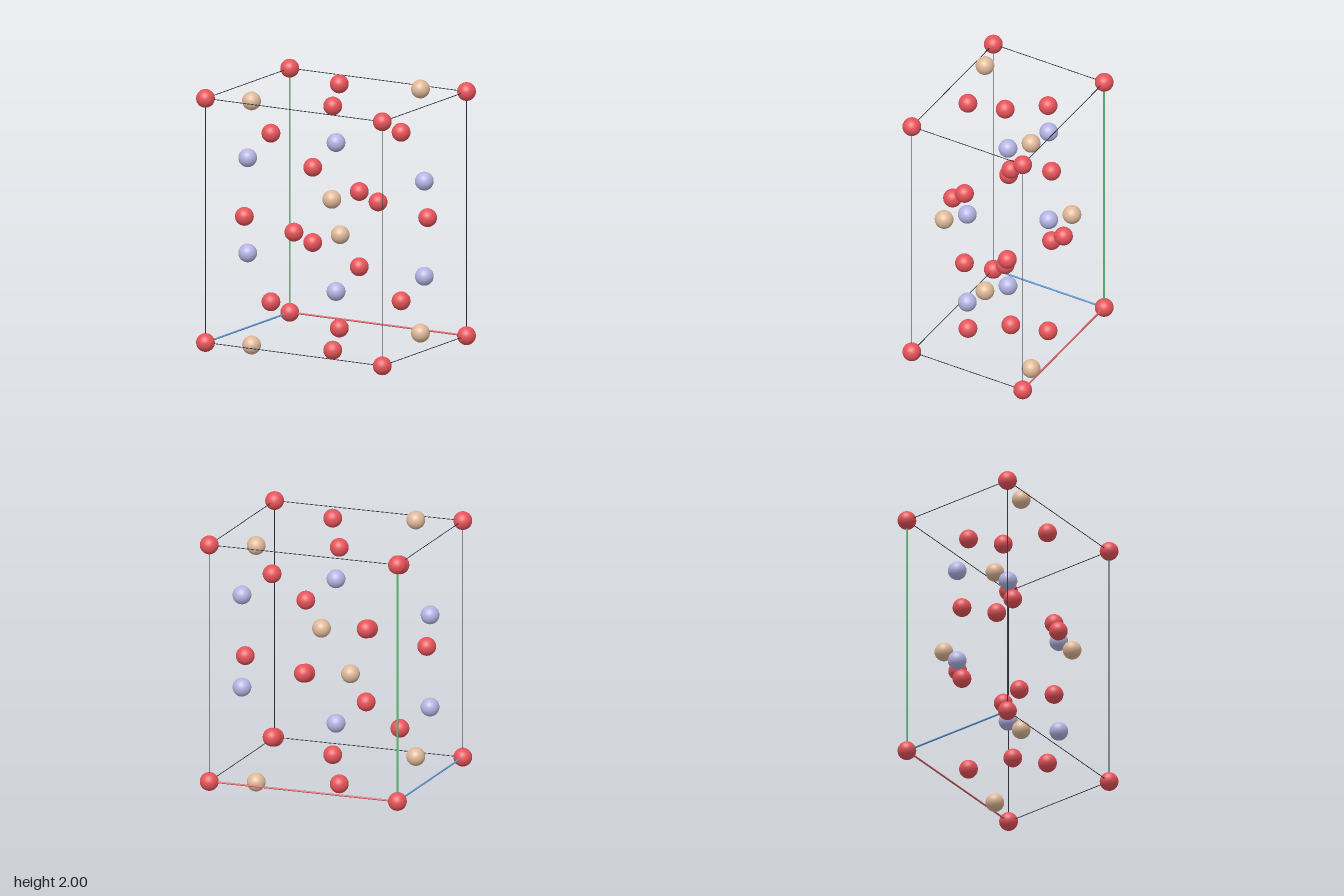
import * as THREE from 'three';

const mat = (name, color) => new THREE.MeshStandardMaterial({ name, color });

export function createModel() {
  const model = new THREE.Group();
  model.name = 'crystalCell';

  const red = mat('red', 0xe6545a);
  const tan = mat('tan', 0xdfb99a);
  const lavender = mat('lavender', 0xb5b4e3);
  const black = mat('dark slate', 0x262c33);
  const axisRed = mat('axis red', 0xd9666b);
  const axisGreen = mat('axis green', 0x62bd78);
  const axisBlue = mat('axis blue', 0x629ad6);

  const R = 0.069, LOW = 0.069, HIGH = 1.931, MID = 1;
  const ball = new THREE.SphereGeometry(R, 32, 24);

  function atom(name, material, x, y, z) {
    const mesh = new THREE.Mesh(ball, material);
    mesh.name = name;
    mesh.position.set(x, y, z);
    model.add(mesh);
  }

  function rod(name, material, from, to, radius) {
    const dir = to.clone().sub(from);
    const mesh = new THREE.Mesh(new THREE.CylinderGeometry(radius, radius, dir.length(), 10), material);
    mesh.name = name;
    mesh.position.copy(from).addScaledVector(dir, 0.5);
    mesh.quaternion.setFromUnitVectors(new THREE.Vector3(0, 1, 0), dir.normalize());
    model.add(mesh);
  }

  // Sheared box: lattice vectors from the origin corner
  const origin = new THREE.Vector3(-0.613, LOW, -0.495);
  const axes = [
    new THREE.Vector3(1.437, 0, 0),
    new THREE.Vector3(0, HIGH - LOW, 0),
    new THREE.Vector3(-0.211, 0, 0.99),
  ];
  const corner = (i, j, k) => origin.clone()
    .addScaledVector(axes[0], i).addScaledVector(axes[1], j).addScaledVector(axes[2], k);

  // Corner atoms
  for (let n = 0; n < 8; n++) {
    const p = corner(n & 1, (n >> 1) & 1, n >> 2);
    atom('cornerAtom', red, p.x, p.y, p.z);
  }

  // Twelve cell edges; the three at the origin are thicker coloured axes
  const axisMaterials = [axisRed, axisGreen, axisBlue];
  const axisNames = ['redAxis', 'greenAxis', 'blueAxis'];
  for (let d = 0; d < 3; d++) {
    for (let n = 0; n < 4; n++) {
      const s = [0, 0, 0];
      s[(d + 1) % 3] = n & 1;
      s[(d + 2) % 3] = n >> 1;
      const from = corner(...s);
      const to = from.clone().add(axes[d]);
      if (n === 0) rod(axisNames[d], axisMaterials[d], from, to, 0.007);
      else rod('cellEdge', black, from, to, 0.0028);
    }
  }

  // Inner atoms, each repeated by a half turn about the vertical axis
  for (const s of [1, -1]) {
    atom('faceAtom', red, s * 0.105, MID, s * -0.495);
    atom('middleAtom', red, s * 0.613, MID, s * -0.275);
    atom('middleTanAtom', tan, s * 0.23, MID, s * 0.41);
    for (const y of [LOW, HIGH]) {
      atom('levelAtom', red, s * 0.105, y, s * 0.275);
      atom('levelTanAtom', tan, s * 0.49, y, s * -0.41);
    }
    for (const t of [1, -1]) {
      atom('outerAtom', red, s * 0.425, MID + t * 0.643, s * -0.217);
      atom('innerAtom', red, s * 0.293, MID + t * 0.287, s * 0.217);
      atom('sideLavenderAtom', lavender, s * 0.718, MID + t * 0.363, 0);
    }
    atom('centreLavenderAtom', lavender, 0, MID + s * 0.568, 0);
  }

  return model;
}
